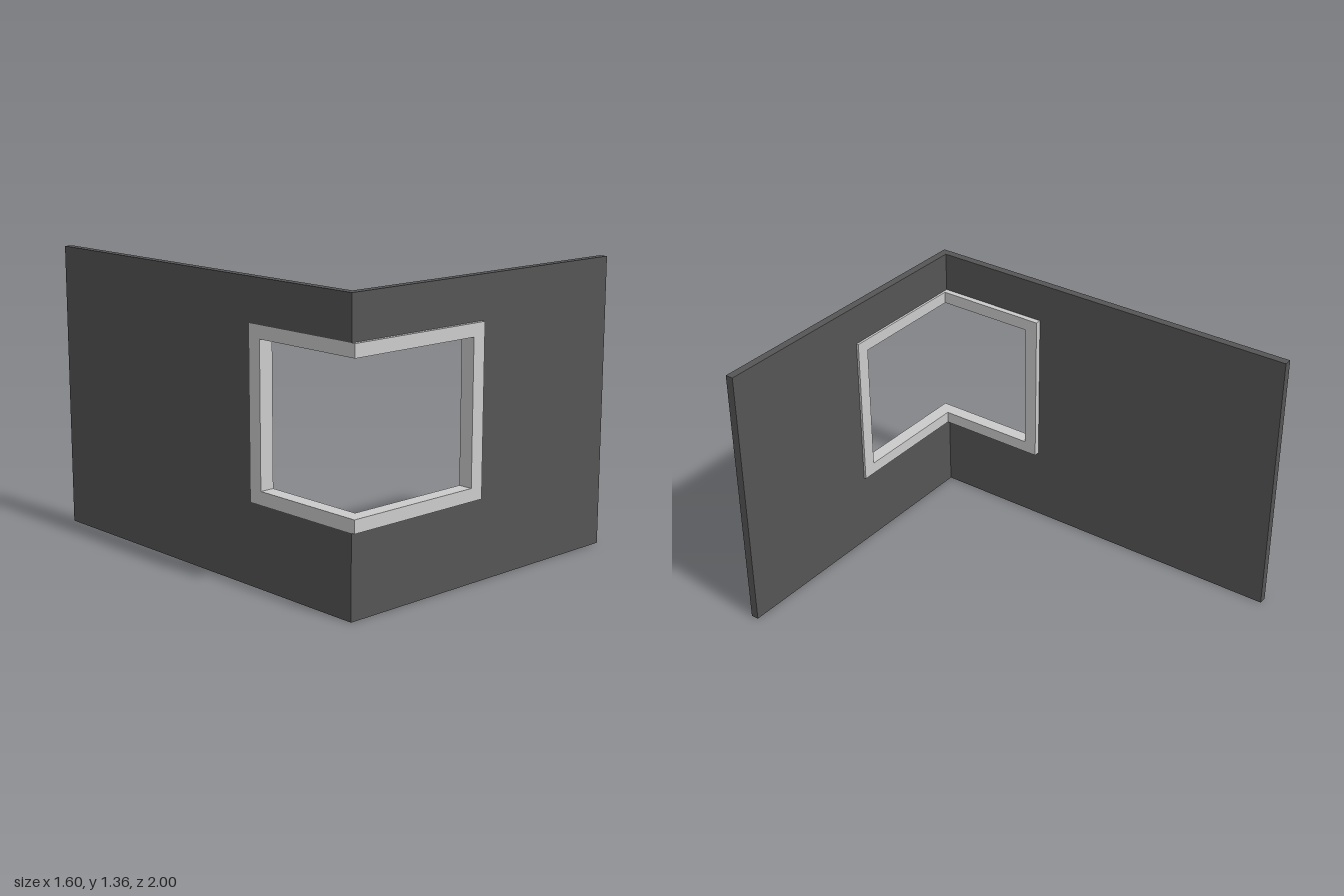
import * as THREE from 'three';

const H = 1.36, Y0 = 0.38, Y1 = 1.16;        // wall height, window bottom and top
const X0 = -0.8, WIN_X = -0.04, WIN_Z = 0.355; // corner side, window ends on each wall
const RAIL = 0.06, POST = 0.067;             // frame bar height and post width

const wallMat = new THREE.MeshStandardMaterial({ color: 0x555555 });
const frameMat = new THREE.MeshStandardMaterial({ color: 0xcccccc });

function extrude(points, depth) {
  const shape = new THREE.Shape(points.map(([x, y]) => new THREE.Vector2(x, y)));
  return new THREE.ExtrudeGeometry(shape, { depth, bevelEnabled: false });
}

function add(parent, name, geometry, material) {
  const mesh = new THREE.Mesh(geometry, material);
  mesh.name = name;
  parent.add(mesh);
  return mesh;
}

// wall slab with a window notch cut into its corner end (a = corner, b = notch end, c = far end)
const notchedWall = (a, b, c, depth) =>
  extrude([[a, 0], [c, 0], [c, H], [a, H], [a, Y1], [b, Y1], [b, Y0], [a, Y0]], depth);

// box given by its minimum and maximum corners
function boxBetween(a, b) {
  const size = b.map((v, i) => v - a[i]);
  return new THREE.BoxGeometry(...size).translate(...a.map((v, i) => v + size[i] / 2));
}

export function createModel() {
  const model = new THREE.Group();
  model.name = 'cornerWindowWalls';

  // two walls meeting at the corner
  const walls = new THREE.Group();
  walls.name = 'walls';
  add(walls, 'frontWall', notchedWall(X0, WIN_X, 0.8, 0.04).translate(0, 0, 0.942), wallMat);
  add(walls, 'sideWall', notchedWall(-0.942, -WIN_Z, 1, 0.04).rotateY(Math.PI / 2).translate(X0, 0, 0), wallMat);

  // window frame wrapping round the corner
  const frame = new THREE.Group();
  frame.name = 'windowFrame';
  const zIn = 0.93, xIn = -0.73;
  // footprint drawn as (x, -z), stood up so that it extrudes along y
  const railPlan = [[X0, -1], [WIN_X, -1], [WIN_X, -zIn], [xIn, -zIn], [xIn, -WIN_Z], [X0, -WIN_Z]];
  for (const [name, y] of [['bottomRail', Y0], ['topRail', Y1 - RAIL]]) {
    add(frame, name, extrude(railPlan, RAIL).rotateX(-Math.PI / 2).translate(0, y, 0), frameMat);
  }
  const lo = Y0 + RAIL, hi = Y1 - RAIL;
  add(frame, 'frontPost', boxBetween([WIN_X - POST, lo, zIn], [WIN_X, hi, 1]), frameMat);
  add(frame, 'sidePost', boxBetween([X0, lo, WIN_Z], [xIn, hi, WIN_Z + POST]), frameMat);

  model.add(walls, frame);
  return model;
}
